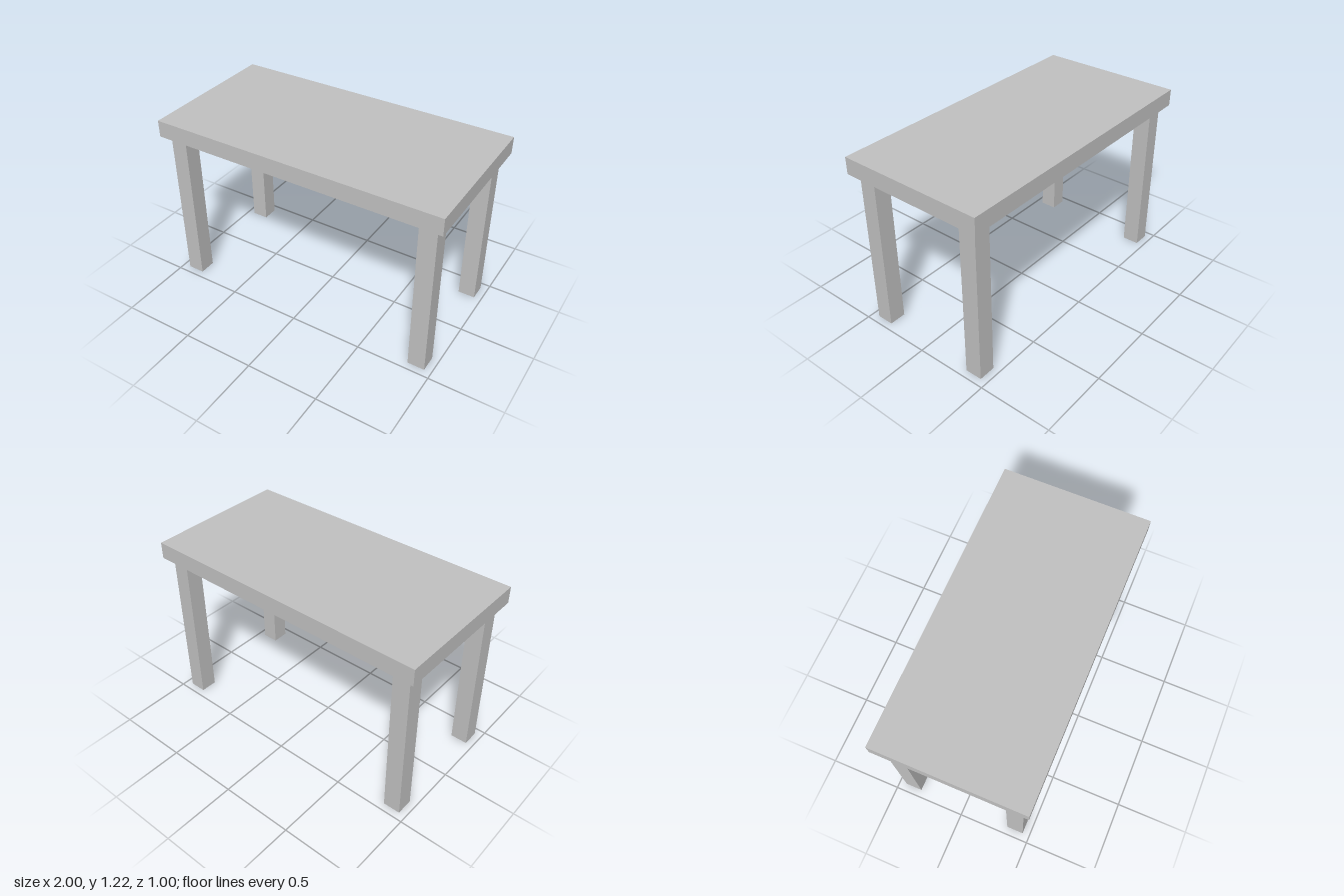
import * as THREE from 'three';

export function createModel() {
  const table = new THREE.Group();
  table.name = 'table';

  const grey = new THREE.MeshStandardMaterial({ color: 0xc0c0c0 });
  grey.name = 'grey';

  const legHeight = 1.103;
  const legWidth = 0.116;
  const topThickness = 0.115;

  // Rectangular slab resting on the legs
  const top = new THREE.Mesh(new THREE.BoxGeometry(2, topThickness, 1), grey);
  top.name = 'tableTop';
  top.position.y = legHeight + topThickness / 2;
  table.add(top);

  // Four square legs, set in slightly from the corners
  const legGeometry = new THREE.BoxGeometry(legWidth, legHeight, legWidth);
  for (const [zName, zSide] of [['front', 1], ['back', -1]]) {
    for (const [xName, xSide] of [['Left', 1], ['Right', -1]]) {
      const leg = new THREE.Mesh(legGeometry, grey);
      leg.name = `${zName}${xName}Leg`;
      leg.position.set(xSide * 0.892, legHeight / 2, zSide * 0.392);
      table.add(leg);
    }
  }

  return table;
}
